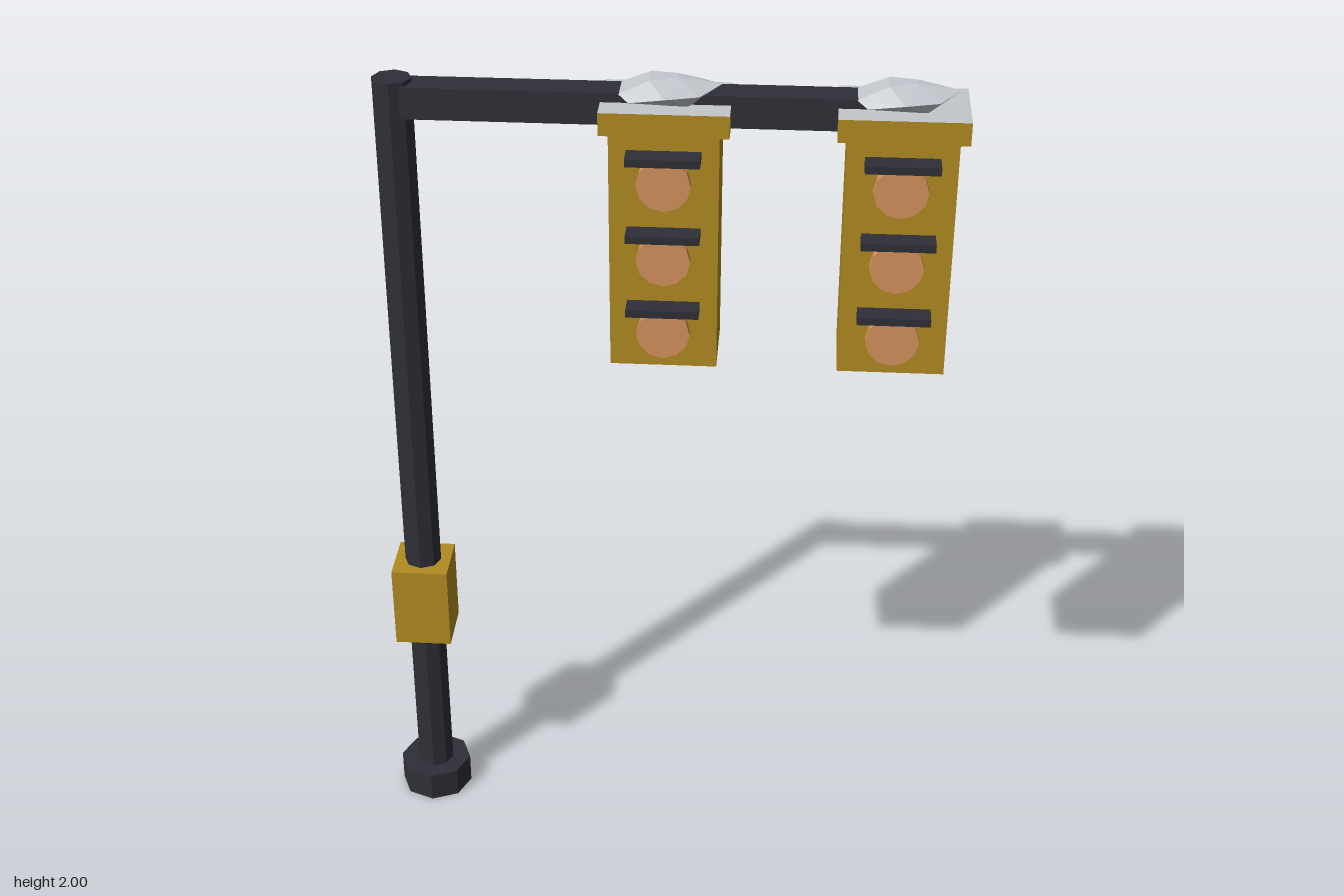
import * as THREE from 'three';
import { ConvexGeometry } from 'three/addons/geometries/ConvexGeometry.js';

const material = (name, color) => {
  const m = new THREE.MeshStandardMaterial({ color });
  m.name = name;
  m.flatShading = true;
  return m;
};

export function createModel() {
  const dark = material('dark metal', 0x2f2f37);
  const yellow = material('signal yellow', 0xb28c22);
  const grey = material('pale grey', 0xc3c7cd);
  const orange = material('orange lens', 0xd6935c);

  const Z = -0.0225; // depth of the pole and arm axis
  const POLE_X = -0.593;
  const root = new THREE.Group();
  root.name = 'trafficSignal';

  const add = (parent, name, geometry, mat, x, y, z) => {
    const mesh = new THREE.Mesh(geometry, mat);
    mesh.name = name;
    mesh.position.set(x, y, z);
    parent.add(mesh);
    return mesh;
  };
  const box = (w, h, d) => new THREE.BoxGeometry(w, h, d);

  // Octagonal pole, its foot and the control box
  add(root, 'foot', new THREE.CylinderGeometry(0.09, 0.09, 0.076, 8), dark, POLE_X, 0.038, Z);
  add(root, 'pole', new THREE.CylinderGeometry(0.045, 0.045, 1.978, 8), dark, POLE_X, 0.989, Z);
  add(root, 'controlBox', box(0.138, 0.212, 0.138), yellow, POLE_X, 0.597, Z);

  // Horizontal arm, ending inside the far signal
  const armEnd = 0.5;
  add(root, 'arm', box(armEnd - POLE_X, 0.074, 0.073), dark, (armEnd + POLE_X) / 2, 1.931, Z);

  // Faceted lump on top of each signal, pointed towards +x
  const lumpPoints = [new THREE.Vector3(0.122, 1.982, 0)];
  for (const s of [-1, 1]) {
    for (const [x, y, z] of [
      [-0.104, 1.967, 0.036], [-0.08, 1.955, 0.058], [-0.035, 1.997, 0.03],
      [0.0, 1.972, 0.078], [0.025, 2.0, 0.012], [0.075, 1.972, 0.056],
      [-0.06, 1.945, 0.035], [0.05, 1.945, 0.045],
    ]) lumpPoints.push(new THREE.Vector3(x, y, z * s));
  }
  const lumpGeometry = new ConvexGeometry(lumpPoints);

  // Two identical signals
  for (const [name, x] of [['innerSignal', 0.015], ['outerSignal', 0.535]]) {
    const signal = new THREE.Group();
    signal.name = name;
    signal.position.set(x, 0, 0);
    root.add(signal);

    add(signal, 'housing', box(0.244, 0.58, 0.183), yellow, 0, 1.619, Z);
    // Cap with a grey upper face
    add(signal, 'cap', box(0.287, 0.053, 0.198),
      [yellow, yellow, grey, yellow, yellow, yellow], 0, 1.9205, Z);
    add(signal, 'lump', lumpGeometry, grey, 0, 0, Z);

    // Three lenses, each under a flat visor
    for (const y of [1.785, 1.602, 1.419]) {
      const lens = add(signal, 'lens', new THREE.CylinderGeometry(0.061, 0.061, 0.04, 12),
        orange, 0, y, 0.07);
      lens.rotation.x = Math.PI / 2;
      add(signal, 'visor', box(0.165, 0.018, 0.0565), dark, 0, y + 0.066, 0.0933);
    }
  }
  return root;
}
